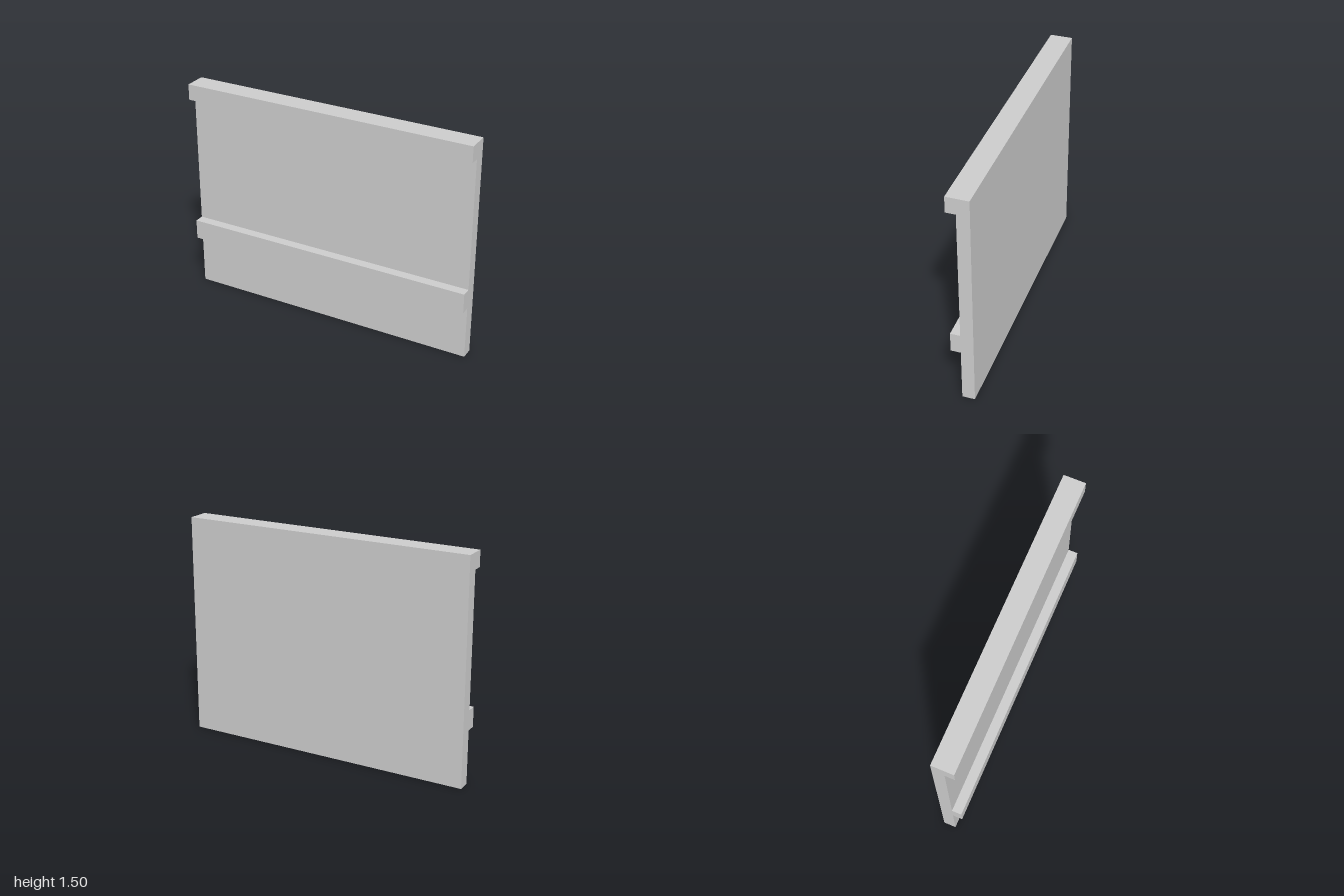
import * as THREE from 'three';

const WIDTH = 2, HEIGHT = 1.5;
const BACK = -0.074, FACE = 0.009, RAIL = 0.074; // depths along z

export function createModel() {
  const group = new THREE.Group();
  group.name = 'railedWallPanel';

  // Side profile (z, y): flat board with a lower rail and a top rail on the front
  const profile = new THREE.Shape([
    [BACK, 0], [FACE, 0],
    [FACE, 0.365], [RAIL, 0.365], [RAIL, 0.5], [FACE, 0.5], // lower rail
    [FACE, 1.393], [RAIL, 1.393], [RAIL, HEIGHT],           // top rail
    [BACK, HEIGHT],
  ].map(([z, y]) => new THREE.Vector2(z, y)));

  // Sweep the profile across the full width, then turn it to face +z
  const geometry = new THREE.ExtrudeGeometry(profile, { depth: WIDTH, bevelEnabled: false });
  geometry.translate(0, 0, -WIDTH / 2).rotateY(-Math.PI / 2);

  const panel = new THREE.Mesh(geometry, new THREE.MeshStandardMaterial({ color: 0xcccccc }));
  panel.name = 'panelWithRails';
  group.add(panel);
  return group;
}
